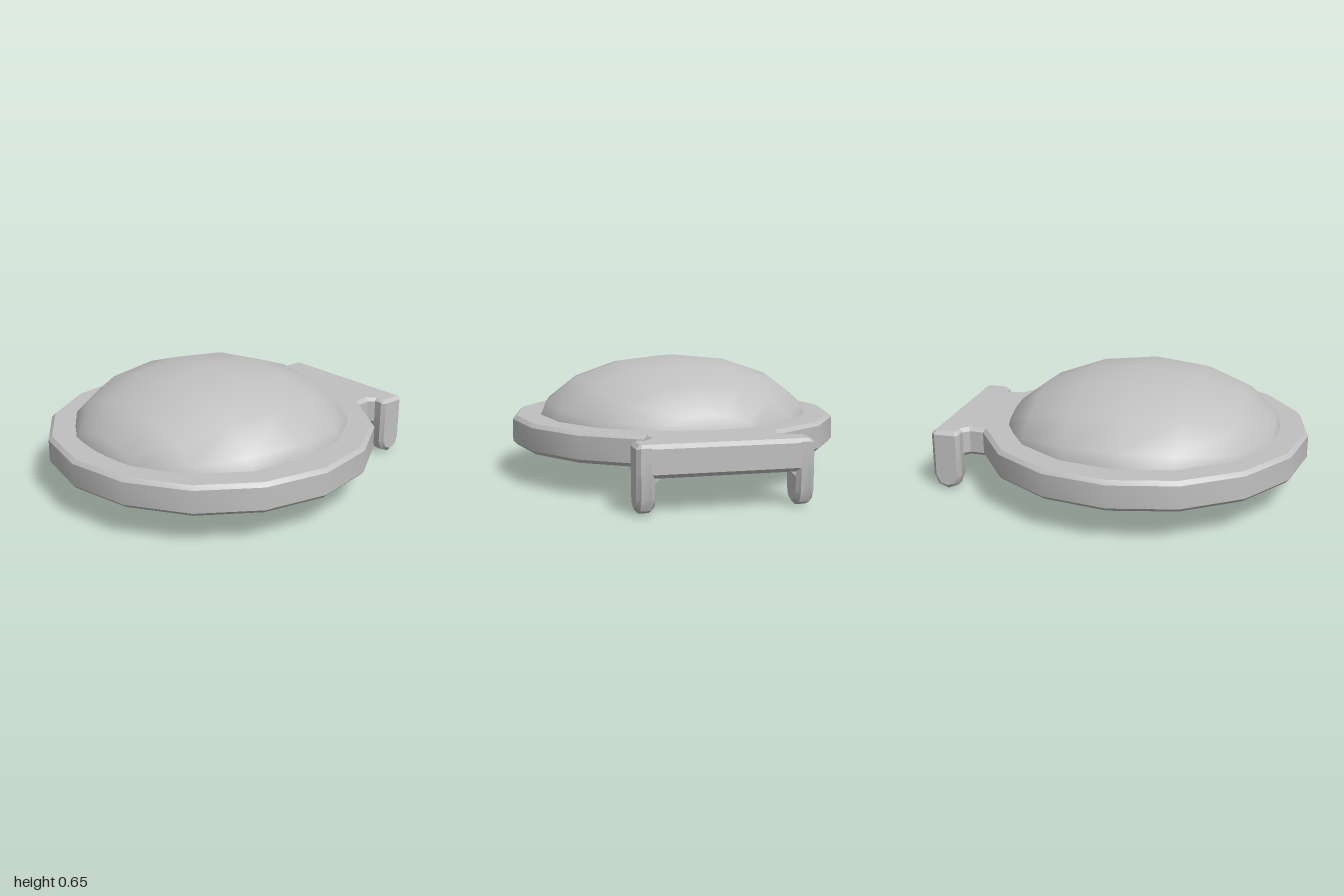
import * as THREE from 'three';
import { toCreasedNormals } from 'three/addons/utils/BufferGeometryUtils.js';

const BEVEL = 0.02;

// Extrude an outline to a total thickness, with chamfered edges kept inside the outline
function chamferedExtrude(points, thickness) {
  const shape = new THREE.Shape(points.map(([x, y]) => new THREE.Vector2(x, y)));
  const geometry = new THREE.ExtrudeGeometry(shape, {
    depth: thickness - 2 * BEVEL,
    bevelEnabled: true,
    bevelThickness: BEVEL,
    bevelSize: BEVEL,
    bevelOffset: -BEVEL,
    bevelSegments: 1,
  });
  return geometry.translate(0, 0, BEVEL);
}

export function createModel() {
  const group = new THREE.Group();
  const grey = new THREE.MeshStandardMaterial({ color: 0xc0c0c0 });
  grey.name = 'plain grey';

  const add = (name, geometry) => {
    const mesh = new THREE.Mesh(geometry, grey);
    mesh.name = name;
    group.add(mesh);
    return mesh;
  };

  // Base plate: 16-sided disc joined by a neck to the hinge bar at the back
  const outline = [];
  for (let i = 1; i <= 15; i++) {
    const a = -Math.PI / 2 + (i * Math.PI) / 8;
    outline.push([0.9 * Math.cos(a), 0.1 + 0.9 * Math.sin(a)]);
  }
  const bracket = [
    [0.34, -0.81], [0.37, -0.84], [0.41, -0.84],
    [0.435, -0.86], [0.435, -0.98], [0.415, -1],
  ];
  outline.push(...bracket.map(([x, z]) => [-x, z]));
  outline.push(...bracket.slice().reverse());
  const plate = chamferedExtrude(outline, 0.16).rotateX(Math.PI / 2).translate(0, 0.335, 0);
  add('basePlate', toCreasedNormals(plate, 0.5));

  // Dome: upper half of a flattened sphere, its lower edge sunk into the plate
  const dome = new THREE.SphereGeometry(1, 8, 8, 0, Math.PI)
    .rotateX(-Math.PI / 2)
    .scale(0.776, 0.397, 0.776)
    .translate(0, 0.255, 0.1);
  add('dome', dome);

  // Hinge legs with rounded feet, and a small gusset under the bar beside each
  const legSide = [[0.84, 0.32]];
  for (let i = 0; i <= 4; i++) {
    const a = Math.PI + (i * Math.PI) / 4;
    legSide.push([0.92 + 0.08 * Math.cos(a), 0.08 + 0.08 * Math.sin(a)]);
  }
  legSide.push([1, 0.32]);
  for (const side of [1, -1]) {
    const name = side > 0 ? 'left' : 'right';
    const leg = chamferedExtrude(legSide, 0.091)
      .rotateY(Math.PI / 2)
      .translate(side * 0.389 - 0.0455, 0, 0);
    add(name + 'Leg', toCreasedNormals(leg, 0.6));

    const corner = new THREE.Shape([
      new THREE.Vector2(side * 0.31, 0.18),
      new THREE.Vector2(side * 0.36, 0.18),
      new THREE.Vector2(side * 0.36, 0.14),
    ]);
    const gusset = new THREE.ExtrudeGeometry(corner, { depth: 0.12, bevelEnabled: false });
    add(name + 'Gusset', gusset.translate(0, 0, -0.98));
  }

  return group;
}
